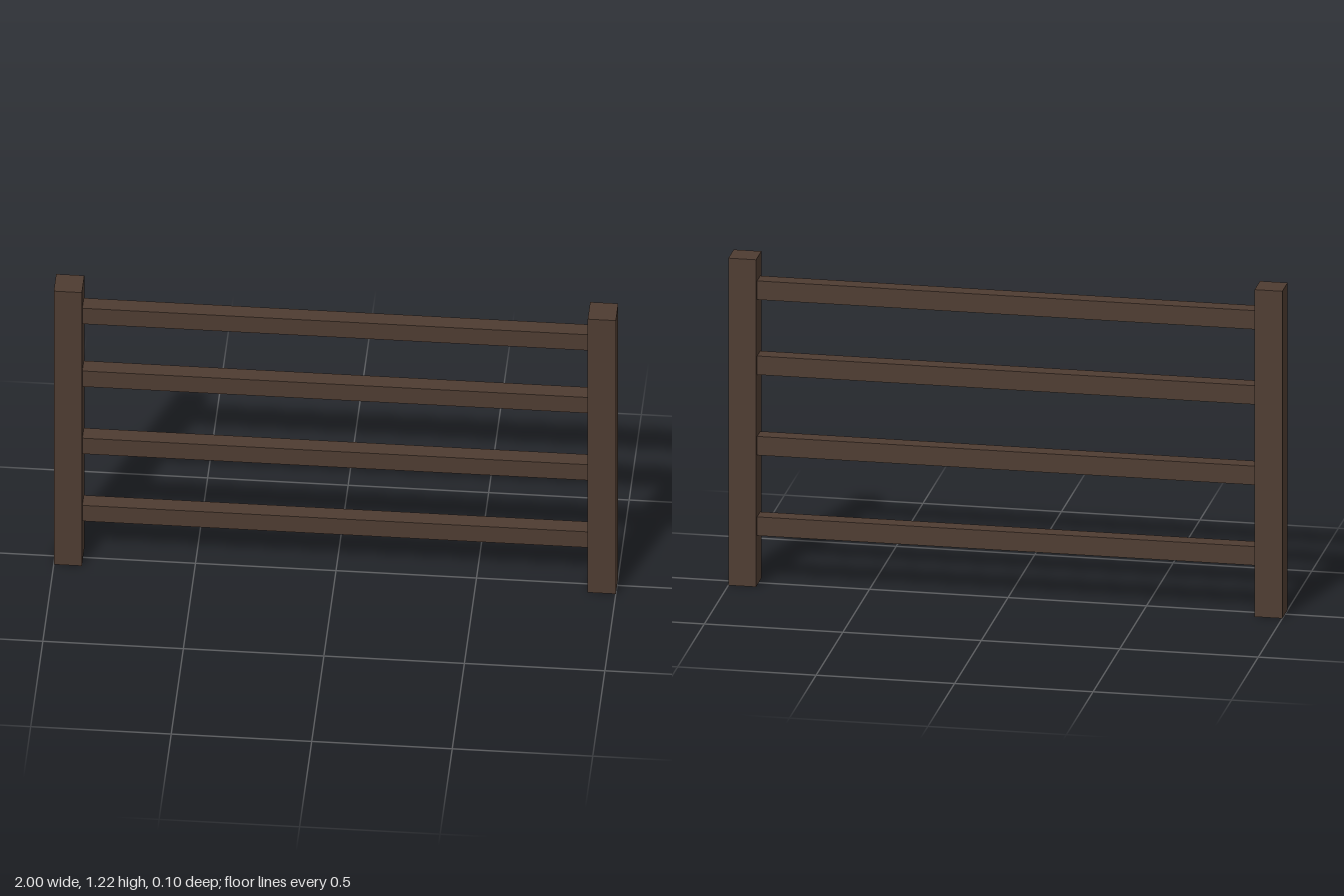
import * as THREE from 'three';

const POST = 0.1, HEIGHT = 1.22, SPAN = 1.8;

export function createModel() {
  const model = new THREE.Group();
  model.name = 'fence';
  const darkWood = new THREE.MeshStandardMaterial({ color: 0x4e3c31 });
  darkWood.name = 'darkWood';

  const addBeam = (name, size, position) => {
    const beam = new THREE.Mesh(new THREE.BoxGeometry(...size), darkWood);
    beam.name = name;
    beam.position.set(...position);
    model.add(beam);
  };

  // Square end posts
  for (const [name, side] of [['leftPost', 1], ['rightPost', -1]]) {
    addBeam(name, [POST, HEIGHT, POST], [side * (1 - POST / 2), HEIGHT / 2, 0]);
  }

  // Horizontal rails, from the bottom up
  [0.22, 0.52, 0.82, 1.1].forEach((y, i) => {
    addBeam(`rail${i + 1}`, [SPAN, 0.07, 0.06], [0, y, 0]);
  });

  return model;
}
